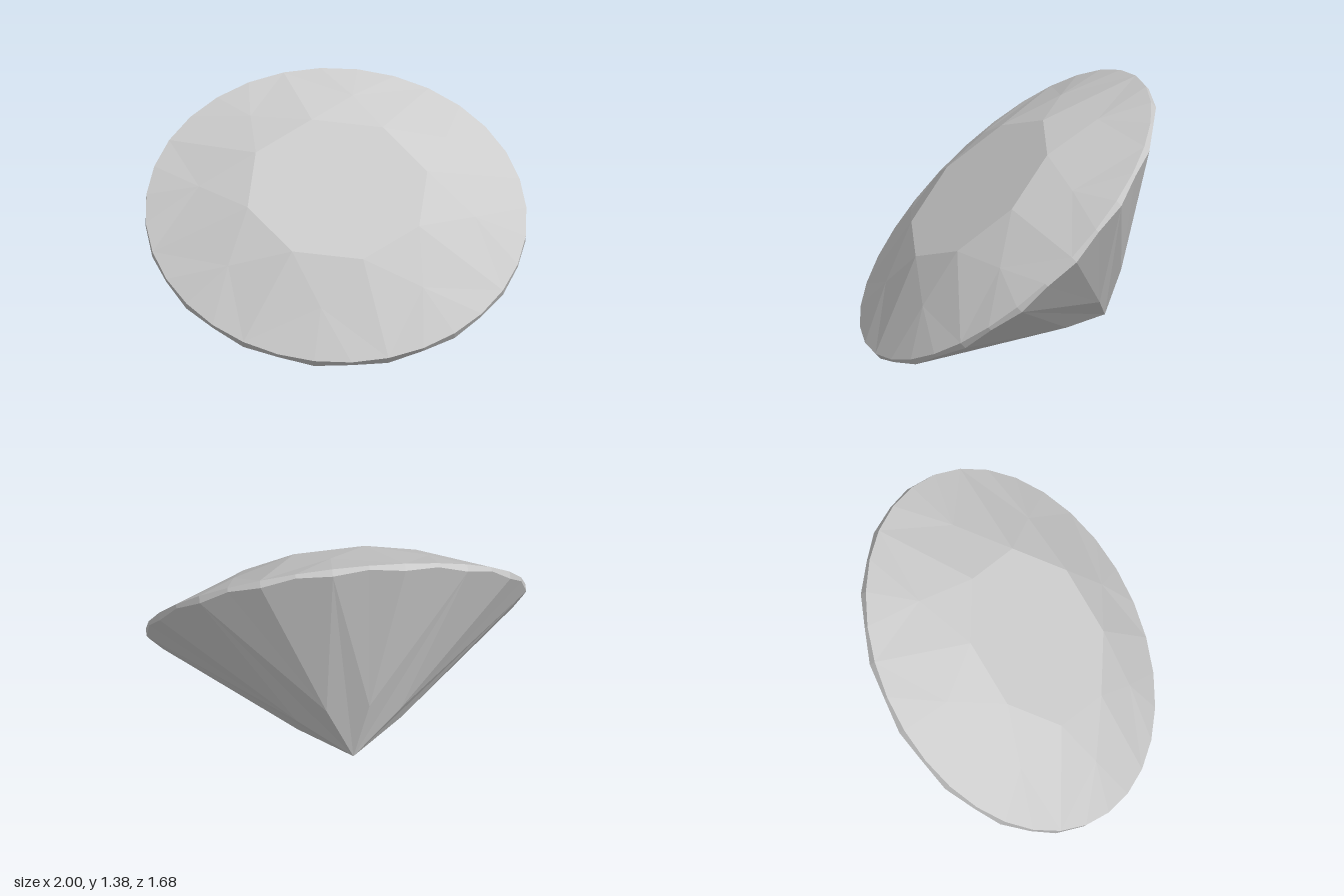
import * as THREE from 'three';

const STEPS = 32; // girdle segments; every 4th lines up with a table corner
const material = new THREE.MeshStandardMaterial({ color: 0xcccccc, flatShading: true });

// Rings of the cut stone, by step k, with the bottom tip at the origin
const ring = (radius, height) => (k) => {
  const a = (k / STEPS) * Math.PI * 2;
  const h = typeof height === 'function' ? height(k) : height;
  return new THREE.Vector3(radius * Math.cos(a), h, -radius * Math.sin(a));
};
const tip = new THREE.Vector3(0, 0, 0);
const tableTop = new THREE.Vector3(0, 1.057, 0);
const table = ring(0.508, 1.057);
const crownMid = ring(0.755, 0.953);
const girdleTop = ring(1.038, 0.836);
const girdleLow = ring(1.038, (k) => (k % 2 ? 0.813 : 0.795)); // scalloped edge
const pavilionMid = ring(0.307, 0.208);

// Builds one faceted part, turning every triangle away from the stone's core
function facets(name, triangles) {
  const core = new THREE.Vector3(0, 0.7, 0);
  const points = [];
  for (const [a, b, c] of triangles) {
    const normal = b.clone().sub(a).cross(c.clone().sub(a));
    const outward = normal.dot(a.clone().sub(core)) > 0;
    points.push(...(outward ? [a, b, c] : [a, c, b]));
  }
  const geometry = new THREE.BufferGeometry().setFromPoints(points);
  geometry.computeVertexNormals();
  const mesh = new THREE.Mesh(geometry, material);
  mesh.name = name;
  return mesh;
}

export function createModel() {
  const tableFace = [], crown = [], girdle = [], pavilion = [];

  for (let k = 0; k < STEPS; k += 4) {
    // flat octagonal top
    tableFace.push([tableTop, table(k), table(k + 4)]);

    // crown: star triangle, kite halves and upper girdle facets
    const mid = crownMid(k + 2);
    crown.push([table(k), table(k + 4), mid]);
    crown.push([table(k), mid, girdleTop(k)]);
    crown.push([table(k + 4), mid, girdleTop(k + 4)]);
    for (let j = k; j < k + 4; j++) crown.push([mid, girdleTop(j), girdleTop(j + 1)]);

    // pavilion: kite halves and lower girdle facets
    const low = pavilionMid(k);
    pavilion.push([tip, low, girdleLow(k - 2)], [tip, low, girdleLow(k + 2)]);
    for (let j = k - 2; j < k + 2; j++) pavilion.push([low, girdleLow(j), girdleLow(j + 1)]);
  }

  // thin band between crown and pavilion
  for (let k = 0; k < STEPS; k++) {
    girdle.push([girdleTop(k), girdleLow(k), girdleLow(k + 1)]);
    girdle.push([girdleTop(k), girdleLow(k + 1), girdleTop(k + 1)]);
  }

  const stone = new THREE.Group();
  stone.name = 'gemstone';
  stone.add(
    facets('table', tableFace),
    facets('crown', crown),
    facets('girdle', girdle),
    facets('pavilion', pavilion)
  );

  // lean the stone over so it rests on its side
  const up = new THREE.Vector3(-0.268, 0.756, 0.598).normalize();
  const side = new THREE.Vector3(1, 0, 0).addScaledVector(up, -up.x).normalize();
  const front = side.clone().cross(up);
  stone.quaternion.setFromRotationMatrix(new THREE.Matrix4().makeBasis(side, up, front));
  stone.rotateY(THREE.MathUtils.degToRad(-5));
  stone.position.set(0.22, 0.08, -0.49);

  const model = new THREE.Group();
  model.name = 'model';
  model.add(stone);
  return model;
}
